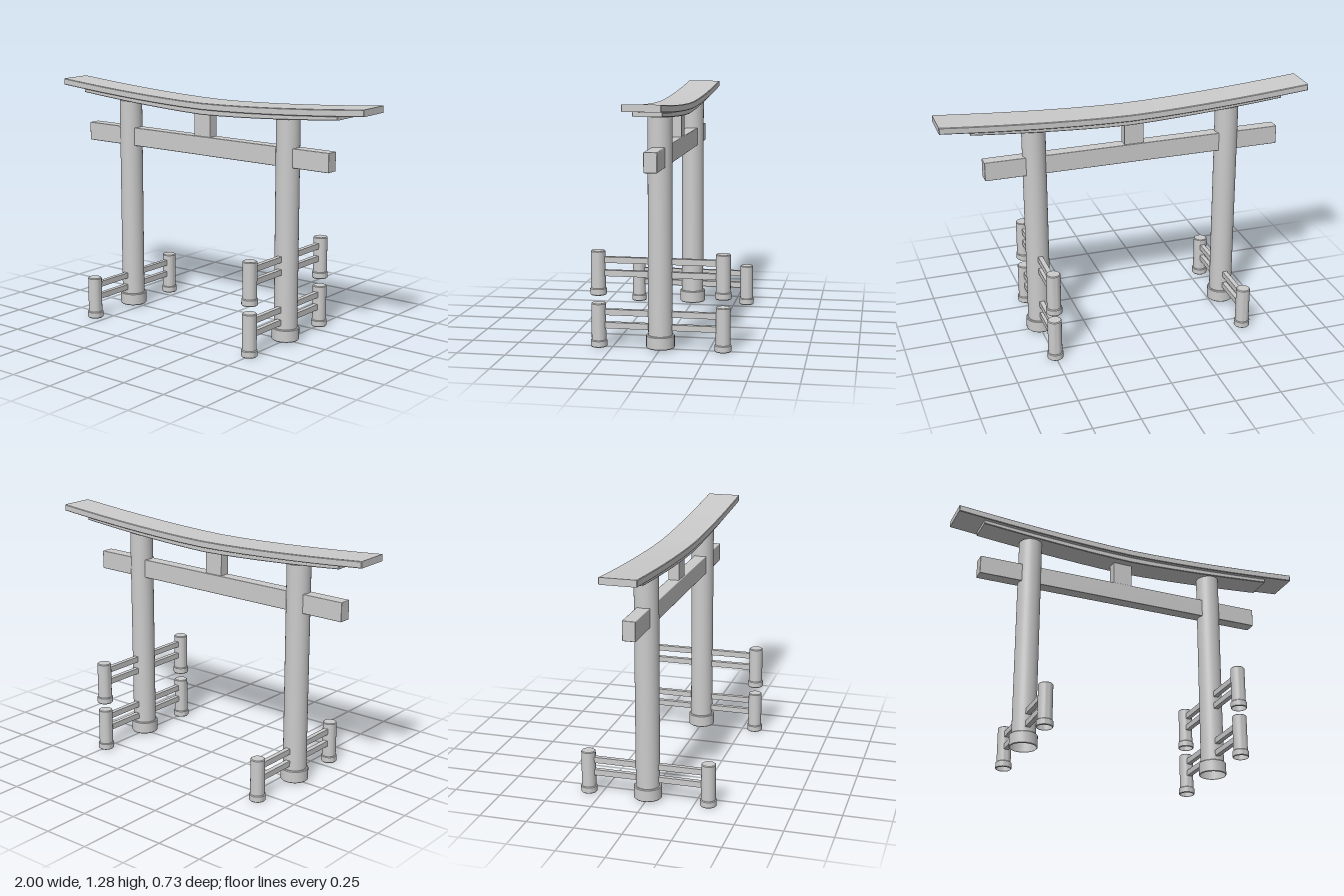
import * as THREE from 'three';
import { RoundedBoxGeometry } from 'three/addons/geometries/RoundedBoxGeometry.js';
import { toCreasedNormals } from 'three/addons/utils/BufferGeometryUtils.js';

const material = new THREE.MeshStandardMaterial({ color: 0xcccccc });
const openMaterial = new THREE.MeshStandardMaterial({ color: 0xcccccc, side: THREE.DoubleSide });

function add(parent, name, geometry, x, y, z, mat = material) {
  const mesh = new THREE.Mesh(geometry, mat);
  mesh.name = name;
  mesh.position.set(x, y, z);
  parent.add(mesh);
  return mesh;
}

// Round post with a wider collar at its foot, open underneath
function postGeometry(radius, collarRadius, collarHeight, height) {
  const b = 0.004;
  const profile = [
    [collarRadius - b, 0], [collarRadius, b],
    [collarRadius, collarHeight - b], [collarRadius - b, collarHeight],
    [radius, collarHeight], [radius, height - b], [radius - b, height], [0, height],
  ].map(([x, y]) => new THREE.Vector2(x, y));
  return toCreasedNormals(new THREE.LatheGeometry(profile, 32), 0.6);
}

// Upper line of the upswept roof
const sweep = (x) => 1.23 + 0.055 * Math.pow(Math.abs(x), 1.6);

// Curved plank between two height functions, extruded along z
function plankGeometry(x0, x1, top, bottom, depth) {
  const n = 14, bevel = 0.003, upper = [], lower = [];
  for (let i = 0; i <= n; i++) {
    const x = THREE.MathUtils.lerp(x0 + bevel, x1 - bevel, i / n);
    upper.push(new THREE.Vector2(x, top(x) - bevel));
    lower.push(new THREE.Vector2(x, bottom(x) + bevel));
  }
  const geometry = new THREE.ExtrudeGeometry(new THREE.Shape([...lower, ...upper.reverse()]), {
    depth: depth - 2 * bevel, bevelEnabled: true, bevelSize: bevel, bevelThickness: bevel, bevelSegments: 1,
  });
  geometry.translate(0, 0, -depth / 2 + bevel);
  return geometry;
}

export function createModel() {
  const group = new THREE.Group();
  group.name = 'gateway';
  const pillarX = { right: -0.57, left: 0.5 };

  // Main pillars
  const pillar = postGeometry(0.0625, 0.073, 0.068, 1.185);
  for (const [side, x] of Object.entries(pillarX)) add(group, side + 'Pillar', pillar, x, 0.008, 0, openMaterial);

  // Upswept roof in two layers
  const underside = (x) => sweep(x) - 0.035;
  add(group, 'roofBeam', plankGeometry(-1, 1, sweep, underside, 0.188), 0, 0, -0.002);
  add(group, 'lowerRoofBeam',
    plankGeometry(-0.855, 0.84, underside, (x) => underside(x) - 0.03 + 0.01 * Math.abs(x), 0.146), 0, 0, 0);

  // Tie beam and the strut above it
  add(group, 'tieBeam', new RoundedBoxGeometry(1.625, 0.102, 0.068, 1, 0.004), -0.0425, 0.989, 0);
  add(group, 'centerStrut', new THREE.BoxGeometry(0.105, 0.15, 0.056), -0.0375, 1.105, 0);

  // Side railings: one on the right pillar, two stacked on the left
  const smallPost = postGeometry(0.0375, 0.0425, 0.037, 0.23);
  const rail = new THREE.BoxGeometry(0.025, 0.031, 0.27);
  for (const [side, y] of [['right', 0], ['left', 0], ['left', 0.273]]) {
    const railing = new THREE.Group();
    railing.name = side + (y ? 'UpperRailing' : 'LowerRailing');
    railing.position.set(pillarX[side], y, 0);
    for (const s of [1, -1]) {
      const end = s > 0 ? 'front' : 'back';
      add(railing, end + 'Post', smallPost, 0, 0, s * 0.322, openMaterial);
      add(railing, end + 'LowerRail', rail, 0, 0.114, s * 0.175);
      add(railing, end + 'UpperRail', rail, 0, 0.183, s * 0.175);
    }
    group.add(railing);
  }
  return group;
}
